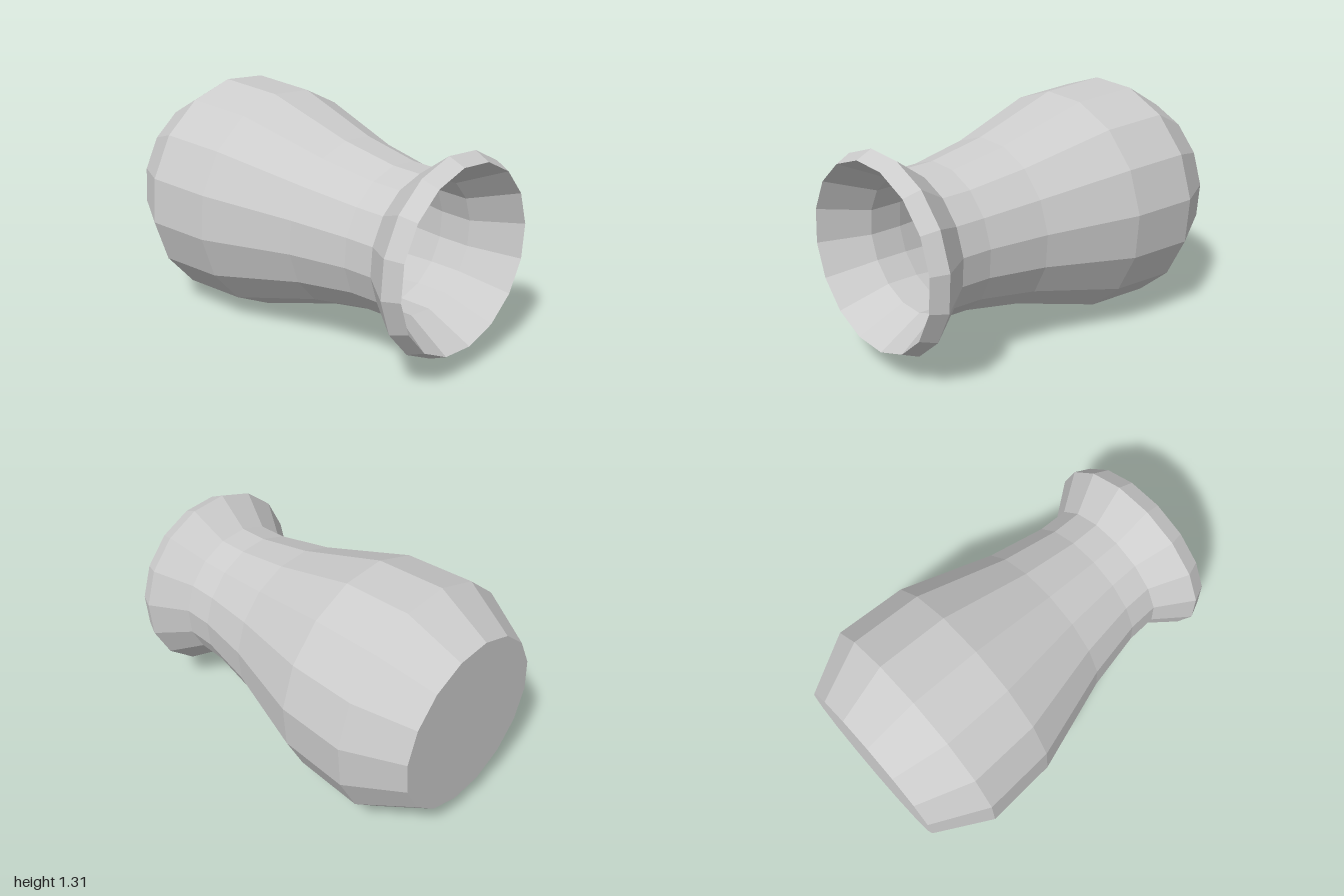
import * as THREE from 'three';

const SIDES = 16;
const TURN = THREE.MathUtils.degToRad(-83); // facets sit slightly rolled

// Faceted surface of revolution about the x axis, from [x, radius] pairs
function turned(name, profile, material) {
  const points = profile.map(([x, r]) => new THREE.Vector2(r, x));
  const geometry = new THREE.LatheGeometry(points, SIDES, TURN).toNonIndexed();
  geometry.rotateZ(-Math.PI / 2);
  geometry.computeVertexNormals();
  const mesh = new THREE.Mesh(geometry, material);
  mesh.name = name;
  return mesh;
}

export function createModel() {
  const clay = new THREE.MeshStandardMaterial({ color: 0xcccccc });
  clay.name = 'pale grey clay';

  const vase = new THREE.Group();
  vase.name = 'vase';

  // Closed base, belly, neck and flared lip
  vase.add(turned('outerWall', [
    [-1, 0], [-1, 0.494], [-0.7, 0.658], [-0.3, 0.637], [0.22, 0.472],
    [0.55, 0.408], [0.72, 0.403], [0.91, 0.542], [1, 0.501],
  ], clay));

  // Funnel mouth, hollow interior and floor
  vase.add(turned('innerWall', [
    [1, 0.501], [0.74, 0.368], [0.55, 0.372], [0.22, 0.436],
    [-0.3, 0.601], [-0.7, 0.622], [-0.96, 0.475], [-0.96, 0],
  ], clay));

  // Lying on its side, resting on the belly
  vase.position.y = 0.654;
  const model = new THREE.Group();
  model.name = 'lyingVase';
  model.add(vase);
  return model;
}
